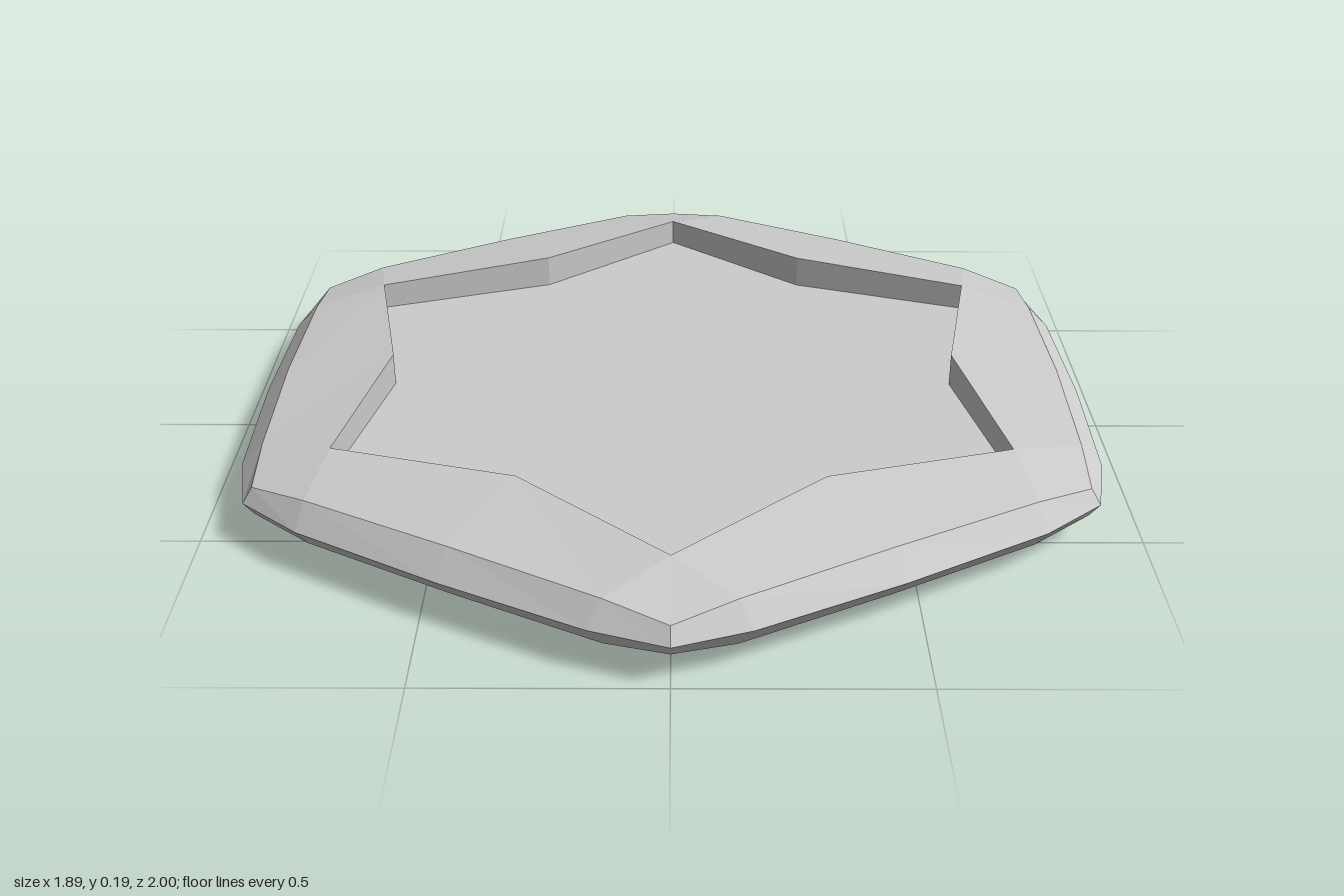
import * as THREE from 'three';

const MID = 0.094; // height of the outer edge

// Mirror one quadrant (back point round to the +x side) into a closed loop of 24 points
function loop(quadrant) {
  const half = [...quadrant, ...quadrant.slice(0, -1).reverse().map(([x, z, h]) => [x, -z, h])];
  return [...half, ...half.slice(1, -1).reverse().map(([x, z, h]) => [-x, z, h])];
}

// Closed skin through rings of equal point count
function loft(rings) {
  const n = rings[0].length, pos = [];
  const tri = (...pts) => {
    const [a, b, c] = pts;
    const area = b.clone().sub(a).cross(c.clone().sub(a)).length();
    if (area > 1e-7) pts.forEach(p => pos.push(p.x, p.y, p.z));
  };
  rings.forEach((ring, k) => {
    const next = rings[(k + 1) % rings.length];
    for (let i = 0; i < n; i++) {
      const j = (i + 1) % n;
      tri(ring[i], ring[j], next[i]);
      tri(ring[j], next[j], next[i]);
    }
  });
  const geo = new THREE.BufferGeometry();
  geo.setAttribute('position', new THREE.Float32BufferAttribute(pos, 3));
  geo.computeVertexNormals();
  return geo;
}

export function createModel() {
  const group = new THREE.Group();
  const material = new THREE.MeshStandardMaterial({ color: 0xcccccc, flatShading: true });

  // Each point: x, z, height above or below the outer edge
  const corner0 = [0, -0.81, 0.08], corner1 = [0.725, -0.405, 0.08];
  const star = loop([corner0, corner0, [0.32, -0.54, 0.094], corner1, corner1, corner1, [0.645, 0, 0.094]]);
  const crease = loop([
    [0, -0.975, 0.033], [0.13, -0.915, 0.052], [0.44, -0.745, 0.056], [0.755, -0.57, 0.052],
    [0.88, -0.488, 0.033], [0.885, -0.34, 0.052], [0.892, 0, 0.056],
  ]);
  const edge = loop([
    [0, -1, 0], [0.16, -0.945, 0], [0.46, -0.79, 0], [0.77, -0.61, 0],
    [0.9, -0.5, 0], [0.935, -0.34, 0], [0.945, 0, 0],
  ]);
  const at = (ring, sign) => ring.map(([x, z, h]) => new THREE.Vector3(x, MID + sign * h, z));

  // Bevelled hexagonal rim with a star-shaped opening
  const rim = new THREE.Mesh(
    loft([at(star, 1), at(crease, 1), at(edge, 1), at(crease, -1), at(star, -1)]), material);
  rim.name = 'rim';
  group.add(rim);

  // Hexagonal plate that fills the opening, recessed on top and nearly flush below
  const bottom = 0.015, top = 0.112;
  const plate = new THREE.Mesh(new THREE.CylinderGeometry(0.84, 0.84, top - bottom, 6), material);
  plate.name = 'centrePlate';
  plate.position.y = (top + bottom) / 2;
  plate.scale.x = 1.02;
  group.add(plate);

  return group;
}
